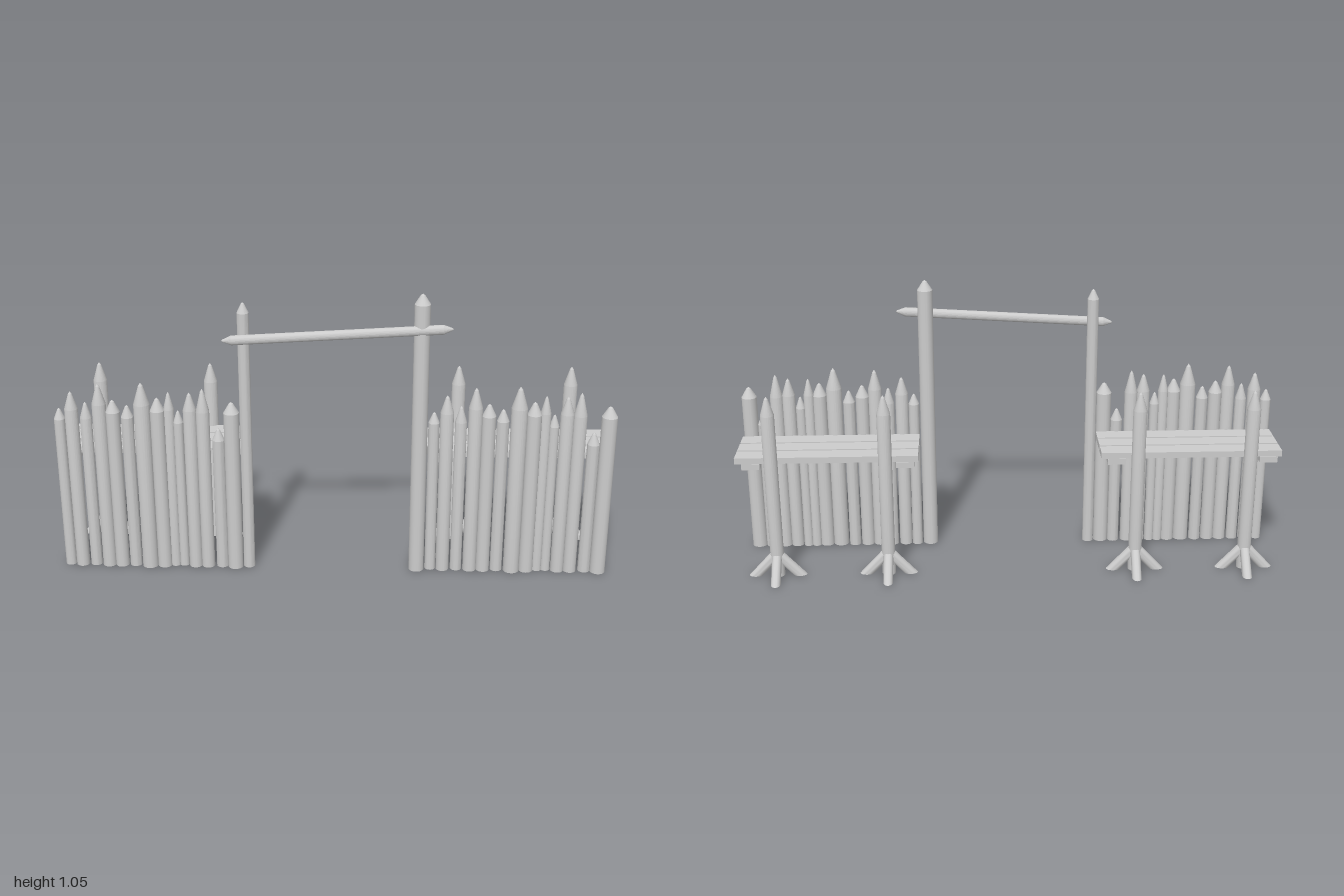
import * as THREE from 'three';
import { toCreasedNormals } from 'three/addons/utils/BufferGeometryUtils.js';

const material = new THREE.MeshStandardMaterial({ color: 0xcccccc });

function addMesh(parent, name, geometry, x = 0, y = 0, z = 0) {
  const mesh = new THREE.Mesh(geometry, material);
  mesh.name = name;
  mesh.position.set(x, y, z);
  parent.add(mesh);
  return mesh;
}

// Round log turned about y, sharpened at the top and optionally at the bottom
function logGeometry(radius, height, tip, pointedBase = false) {
  const top = [[radius, height - tip], [radius * 0.28, height - tip * 0.14], [0, height]];
  const base = pointedBase
    ? top.map(([r, y]) => [r, height - y]).reverse()
    : [[0, 0], [radius, 0]];
  const profile = [...base, ...top].map(([r, y]) => new THREE.Vector2(r, y));
  return toCreasedNormals(new THREE.LatheGeometry(profile, 24), 0.3);
}

// Slanted brace whose lower end is cut level with the ground
function braceGeometry() {
  const height = 0.088, reach = 0.081;
  const geometry = new THREE.CylinderGeometry(0.018, 0.018, height, 20);
  const p = geometry.attributes.position;
  for (let i = 0; i < p.count; i++) {
    const y = p.getY(i) + height / 2;
    p.setXYZ(i, p.getX(i) * 1.45 + reach * (1 - y / height), y, p.getZ(i));
  }
  return toCreasedNormals(geometry, 0.6);
}

// Stakes of one panel: x, top height, radius, tip length
const STAKES = [
  [-0.98, 0.62, 0.02, 0.04], [-0.935, 0.685, 0.024, 0.065], [-0.885, 0.645, 0.021, 0.06],
  [-0.835, 0.715, 0.025, 0.075], [-0.787, 0.655, 0.025, 0.045], [-0.737, 0.635, 0.022, 0.045],
  [-0.682, 0.722, 0.029, 0.08], [-0.628, 0.665, 0.026, 0.048], [-0.588, 0.685, 0.019, 0.065],
  [-0.556, 0.615, 0.018, 0.045], [-0.513, 0.685, 0.024, 0.065], [-0.467, 0.7, 0.024, 0.085],
  [-0.414, 0.55, 0.022, 0.045], [-0.365, 0.652, 0.028, 0.04],
];
const FENCE_BACK = 0.142;

function createPanel() {
  const panel = new THREE.Group();

  // Palisade, every stake flush along its back
  const palisade = new THREE.Group();
  palisade.name = 'palisade';
  for (const [x, top, r, tip] of STAKES) {
    addMesh(palisade, 'stake', logGeometry(r, top, tip), x, 0, FENCE_BACK + r);
  }
  panel.add(palisade);

  // Walkway of three planks on two cross beams
  const walkway = new THREE.Group();
  walkway.name = 'walkway';
  for (const z of [0.112, 0.037, -0.038]) {
    addMesh(walkway, 'plank', new THREE.BoxGeometry(0.664, 0.023, 0.066), -0.667, 0.452, z);
  }
  for (const x of [-0.951, -0.392]) {
    addMesh(walkway, 'crossBeam', new THREE.BoxGeometry(0.066, 0.022, 0.218), x, 0.429, 0.036);
  }
  panel.add(walkway);

  // Rear posts, braced to the two sides and to the back
  for (const x of [-0.88, -0.468]) {
    const post = new THREE.Group();
    post.name = 'rearPost';
    post.position.set(x, 0, -0.087);
    addMesh(post, 'postLog', logGeometry(0.025, 0.705, 0.07), 0, 0, 0);
    for (const angle of [0, Math.PI / 2, Math.PI]) {
      addMesh(post, 'brace', braceGeometry()).rotation.y = angle;
    }
    panel.add(post);
  }
  return panel;
}

export function createModel() {
  const model = new THREE.Group();
  model.name = 'palisadeGate';

  // Two identical panels beside the opening
  const rightPanel = createPanel();
  rightPanel.name = 'rightPanel';
  const leftPanel = createPanel();
  leftPanel.name = 'leftPanel';
  leftPanel.position.x = 1.333;
  model.add(rightPanel, leftPanel);

  // Gate posts
  addMesh(model, 'rightGatePost', logGeometry(0.021, 1.017, 0.037), -0.315, 0, FENCE_BACK + 0.021);
  addMesh(model, 'leftGatePost', logGeometry(0.028, 1.055, 0.037), 0.302, 0, FENCE_BACK + 0.028);

  // Sloping crossbar, pointed at both ends
  const start = new THREE.Vector3(-0.39, 0.884, 0.184);
  const direction = new THREE.Vector3(0.41, 0.934, 0.184).sub(start);
  const bar = addMesh(model, 'crossbar', logGeometry(0.017, direction.length(), 0.035, true), ...start.toArray());
  bar.quaternion.setFromUnitVectors(new THREE.Vector3(0, 1, 0), direction.normalize());

  return model;
}
